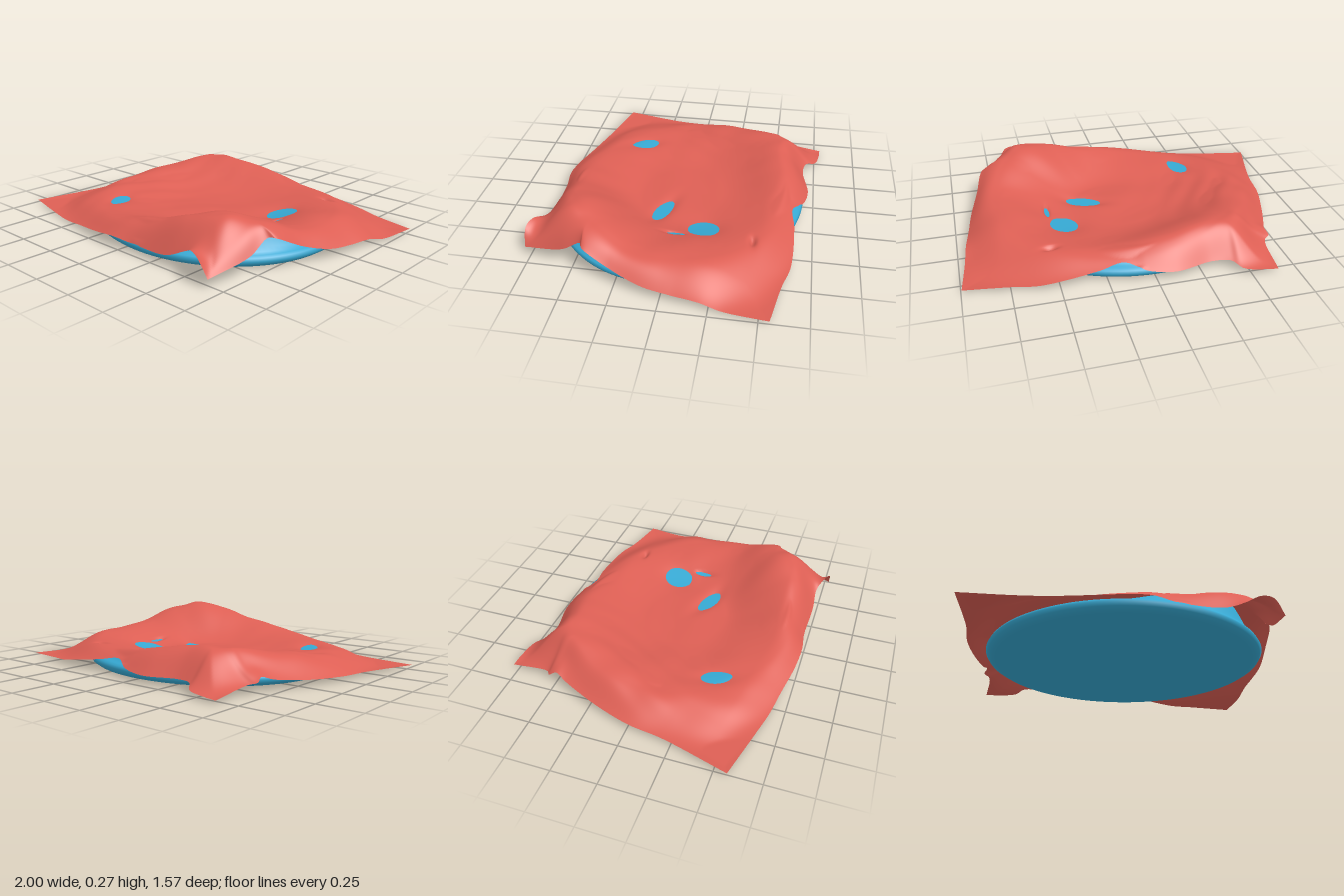
import * as THREE from 'three';
import { mergeVertices } from 'three/addons/utils/BufferGeometryUtils.js';

const bed = { x: 0.042, z: 0.02, a: 0.806, b: 0.7, turn: 0.27 };
const { smoothstep, lerp } = THREE.MathUtils;
const bump = (x, z, cx, cz, sx, sz) => Math.exp(-(((x - cx) / sx) ** 2) - ((z - cz) / sz) ** 2);

// Distance from the middle of the oval cushion: 1 on its rim
function rimDistance(x, z) {
  const c = Math.cos(bed.turn), s = Math.sin(bed.turn), dx = x - bed.x, dz = z - bed.z;
  return Math.hypot((dx * c + dz * s) / bed.a, (dz * c - dx * s) / bed.b);
}

// Height of the padded ring around the bed, every 15 degrees from +x towards +z
const ring = [0.142, 0.168, 0.235, 0.272, 0.237, 0.19, 0.163, 0.125, 0.103, 0.097, 0.095, 0.1,
  0.12, 0.15, 0.172, 0.197, 0.2, 0.175, 0.15, 0.13, 0.115, 0.11, 0.12, 0.135];
function ringHeight(x, z) {
  const n = ring.length;
  const a = (Math.atan2(z - bed.z, x - bed.x) / (2 * Math.PI) + 1) * n;
  const i = Math.floor(a), f = a - i;
  const [p, q, r, s] = [-1, 0, 1, 2].map((k) => ring[(i + k) % n]);
  return q + 0.5 * f * (r - p + f * (2 * p - 5 * q + 4 * r - s + f * (3 * (q - r) + s - p)));
}

// Hollow middle rising to the ring
const hollow = (x, z) => lerp(0.058, ringHeight(x, z), smoothstep(rimDistance(x, z), 0.33, 0.88));

// Top of the cushion, rounded down to its rim
const cushionTop = (x, z) => lerp(0.068, hollow(x, z) - 0.012, smoothstep(1 - rimDistance(x, z), 0.03, 0.16));

// Soft creases of the cloth
function creases(x, z) {
  return 0.003 * Math.sin(13 * x + 5 * z + 2 * Math.sin(4 * z))
    + 0.002 * Math.sin(21 * z - 6 * x + 2 * Math.sin(5 * x))
    + 0.004 * Math.sin(36 * x + 9 * z + 3 * Math.sin(6 * z)) * bump(x, z, -0.55, -0.1, 0.3, 0.5)
    + 0.012 * Math.sin(30 * (x + 0.6 * z)) * bump(x, z, -0.66, -0.47, 0.14, 0.12)
    + 0.01 * Math.sin(34 * (x - 0.3 * z)) * bump(x, z, 0.68, 0.62, 0.12, 0.14);
}

// Spots where the cushion shows through: x, z, half sizes, turn
const spots = [
  [0.385, -0.17, 0.1, 0.1, 0], [0.22, 0.1, 0.135, 0.045, 0.35],
  [-0.455, 0.34, 0.055, 0.1, -0.35], [0.515, -0.43, 0.04, 0.018, 0], [0.47, 0, 0.014, 0.06, 0],
];
function sink(x, z) {
  return Math.max(...spots.map(([cx, cz, sx, sz, t]) => {
    const dx = x - cx, dz = z - cz, c = Math.cos(t), s = Math.sin(t);
    return bump(dx * c + dz * s, dz * c - dx * s, 0, 0, sx, sz);
  }));
}

// Cloth lying in the hollow and falling away outside the ring
const clothTop = (x, z) => hollow(x, z) * (1 - smoothstep(rimDistance(x, z), 0.92, 1.38)) + creases(x, z);

const curve = (pts) => new THREE.CatmullRomCurve3(pts.map((p) => new THREE.Vector3(...p)));

// Hems of the cloth
const back = curve([[-0.645, 0.015, -0.785], [-0.57, 0.02, -0.78], [-0.46, 0.03, -0.755], [-0.41, 0.05, -0.7],
  [-0.31, 0.05, -0.68], [-0.1, 0.045, -0.715], [0.05, 0.06, -0.69], [0.16, 0.09, -0.63], [0.3, 0.07, -0.645],
  [0.6, 0.03, -0.64], [0.75, 0.02, -0.6], [0.995, 0.012, -0.555]]);
const front = curve([[-1, 0.012, 0.57], [-0.7, 0.008, 0.64], [-0.55, 0.012, 0.675], [-0.4, 0.028, 0.7],
  [-0.2, 0.05, 0.735], [-0.05, 0.065, 0.745], [0.1, 0.055, 0.73], [0.35, 0.065, 0.735], [0.48, 0.12, 0.73],
  [0.56, 0.155, 0.765], [0.62, 0.14, 0.785], [0.68, 0.05, 0.78]]);
const left = curve([[-0.645, 0.015, -0.785], [-0.665, 0.05, -0.56], [-0.7, 0.06, -0.53], [-0.69, 0.08, -0.49],
  [-0.72, 0.06, -0.42], [-0.8, 0.035, -0.22], [-0.87, 0.025, 0], [-0.9, 0.02, 0.2], [-1, 0.012, 0.57]]);
const right = curve([[0.995, 0.012, -0.555], [0.965, 0.012, -0.32], [0.95, 0.04, -0.2], [0.925, 0.045, -0.05],
  [0.9, 0.06, 0.1], [0.85, 0.11, 0.27], [0.8, 0.18, 0.42], [0.76, 0.18, 0.44], [0.74, 0.11, 0.55], [0.68, 0.05, 0.78]]);

// Cloth spanned between its four hems and laid over the cushion
function buildCloth() {
  const N = 160;
  const geo = new THREE.PlaneGeometry(1, 1, N, N);
  const sample = (c) => c.getSpacedPoints(N);
  const B = sample(back), F = sample(front), L = sample(left), R = sample(right);
  const pos = geo.attributes.position;
  for (let j = 0; j <= N; j++) {
    for (let i = 0; i <= N; i++) {
      const u = i / N, v = j / N;
      const span = (k) => lerp(B[i][k], F[i][k], v) + lerp(L[j][k], R[j][k], u)
        - lerp(lerp(B[0][k], B[N][k], u), lerp(F[0][k], F[N][k], u), v);
      const x = span('x'), z = span('z');
      const t = Math.min(1, Math.min(u, 1 - u, v, 1 - v) / 0.12);
      let y = lerp(span('y'), clothTop(x, z), 1 - (1 - t) ** 2);
      const floor = (cushionTop(x, z) + 0.008) * (1 - smoothstep(rimDistance(x, z), 0.98, 1.05));
      y = Math.max(y, floor, 0.008) - 0.025 * sink(x, z);
      pos.setXYZ(j * (N + 1) + i, x, y, z);
    }
  }
  geo.computeVertexNormals();
  return geo;
}

// Oval cushion: flat base, rounded rim, hollow top
function buildCushion() {
  const profile = [[0, 0], [0.92, 0], [0.955, 0.006], [0.985, 0.022], [1, 0.042], [0.99, 0.058], [0.97, 0.067]];
  const steps = 50;
  for (let i = 0; i <= steps; i++) profile.push([0.95 * (1 - i / steps), 0.07]);
  let geo = new THREE.LatheGeometry(profile.map((p) => new THREE.Vector2(...p)), 128);
  const pos = geo.attributes.position, c = Math.cos(bed.turn), s = Math.sin(bed.turn);
  for (let i = 0; i < pos.count; i++) {
    const px = pos.getX(i) * bed.a, pz = pos.getZ(i) * bed.b, y = pos.getY(i);
    const x = bed.x + px * c - pz * s, z = bed.z + px * s + pz * c;
    pos.setXYZ(i, x, y > 0.069 ? cushionTop(x, z) : y, z);
  }
  geo.deleteAttribute('uv');
  geo.deleteAttribute('normal');
  geo = mergeVertices(geo, 1e-5);
  geo.computeVertexNormals();
  return geo;
}

export function createModel() {
  const red = new THREE.MeshStandardMaterial({ color: 0xdd5f54, side: THREE.DoubleSide });
  red.name = 'cloth red';
  const blue = new THREE.MeshStandardMaterial({ color: 0x36a9d3 });
  blue.name = 'cushion blue';

  const group = new THREE.Group();
  group.name = 'cushionWithBlanket';
  const cushion = new THREE.Mesh(buildCushion(), blue);
  cushion.name = 'cushion';
  const blanket = new THREE.Mesh(buildCloth(), red);
  blanket.name = 'blanket';
  group.add(cushion, blanket);
  return group;
}
